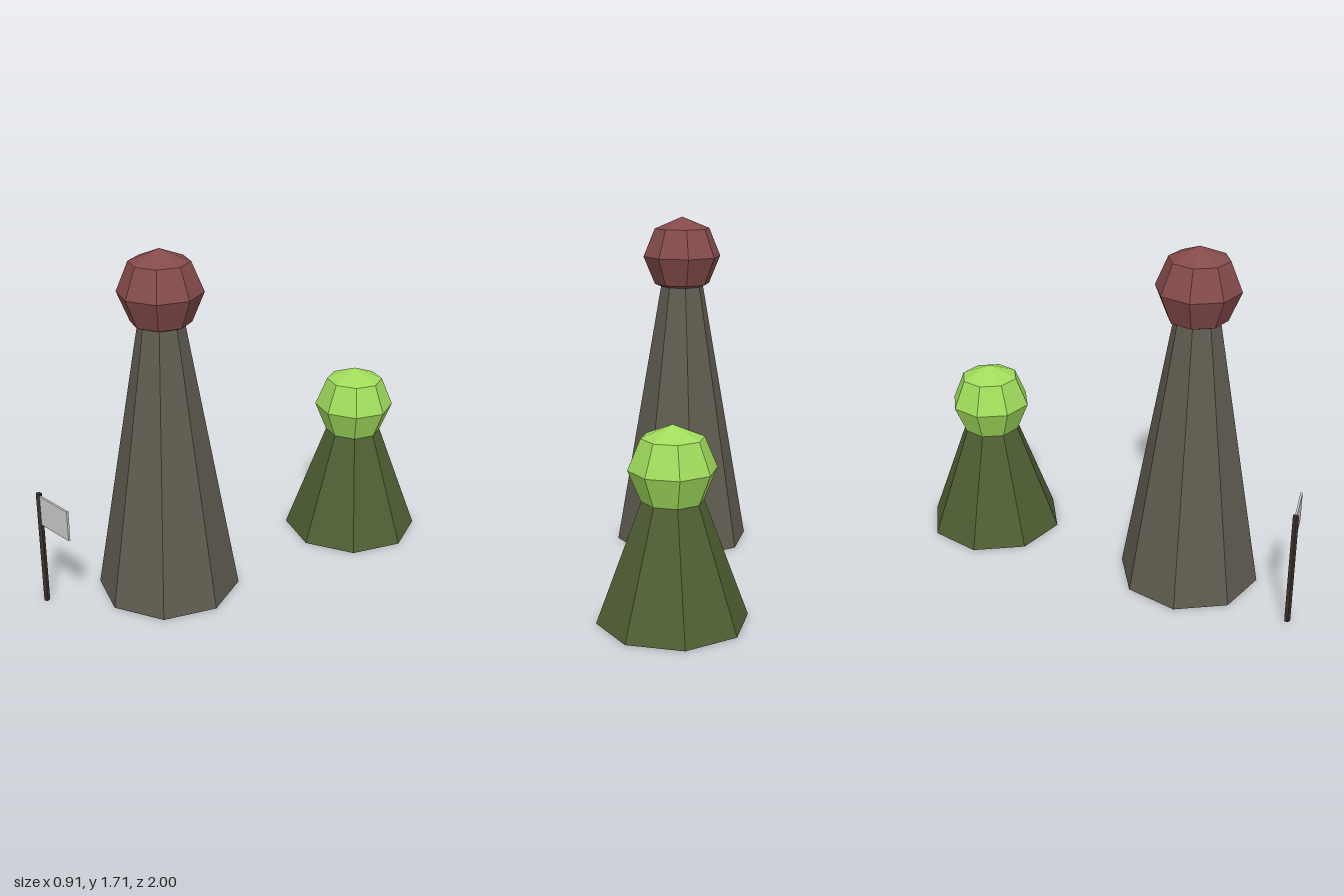
import * as THREE from 'three';

const material = (name, color) => {
  const m = new THREE.MeshStandardMaterial({ color, flatShading: true });
  m.name = name;
  return m;
};

function addPart(parent, name, geometry, mat, x, y, z) {
  const mesh = new THREE.Mesh(geometry, mat);
  mesh.name = name;
  mesh.position.set(x, y, z);
  parent.add(mesh);
  return mesh;
}

// Tapered eight-sided body with a faceted ball resting on its tip
function createPawn(name, height, topRadius, ballY, bodyMat, ballMat) {
  const pawn = new THREE.Group();
  pawn.name = name;
  addPart(pawn, 'body', new THREE.CylinderGeometry(topRadius, 0.345, height, 8), bodyMat, 0, height / 2, 0);
  addPart(pawn, 'ball', new THREE.SphereGeometry(0.2, 8, 4), ballMat, 0, ballY, 0);
  return pawn;
}

export function createModel() {
  const model = new THREE.Group();
  model.name = 'pawnsAndFlag';

  const stone = material('stone grey', 0x5f5c50);
  const red = material('dull red', 0x854b4b);
  const darkGreen = material('dark green', 0x4f5f33);
  const lime = material('lime green', 0xa0dc5c);
  const wood = material('dark wood', 0x3a302d);
  const cloth = material('flag cloth', 0xcccccc);

  // Tall pawn in front, short pawn behind
  const tall = createPawn('tallPawn', 1.4, 0.102, 1.51, stone, red);
  tall.position.set(-0.11, 0, 0.45);
  const short = createPawn('shortPawn', 0.6, 0.124, 0.7, darkGreen, lime);
  short.position.set(0.11, 0, -0.655);
  model.add(tall, short);

  // Flag on a five-sided pole
  const flag = new THREE.Group();
  flag.name = 'flag';
  flag.position.set(-0.397, 0, 0.985);
  addPart(flag, 'pole', new THREE.CylinderGeometry(0.015, 0.015, 0.58, 5), wood, 0, 0.29, 0);
  addPart(flag, 'cloth', new THREE.BoxGeometry(0.225, 0.15, 0.01), cloth, 0.1125, 0.495, 0);
  model.add(flag);

  return model;
}
